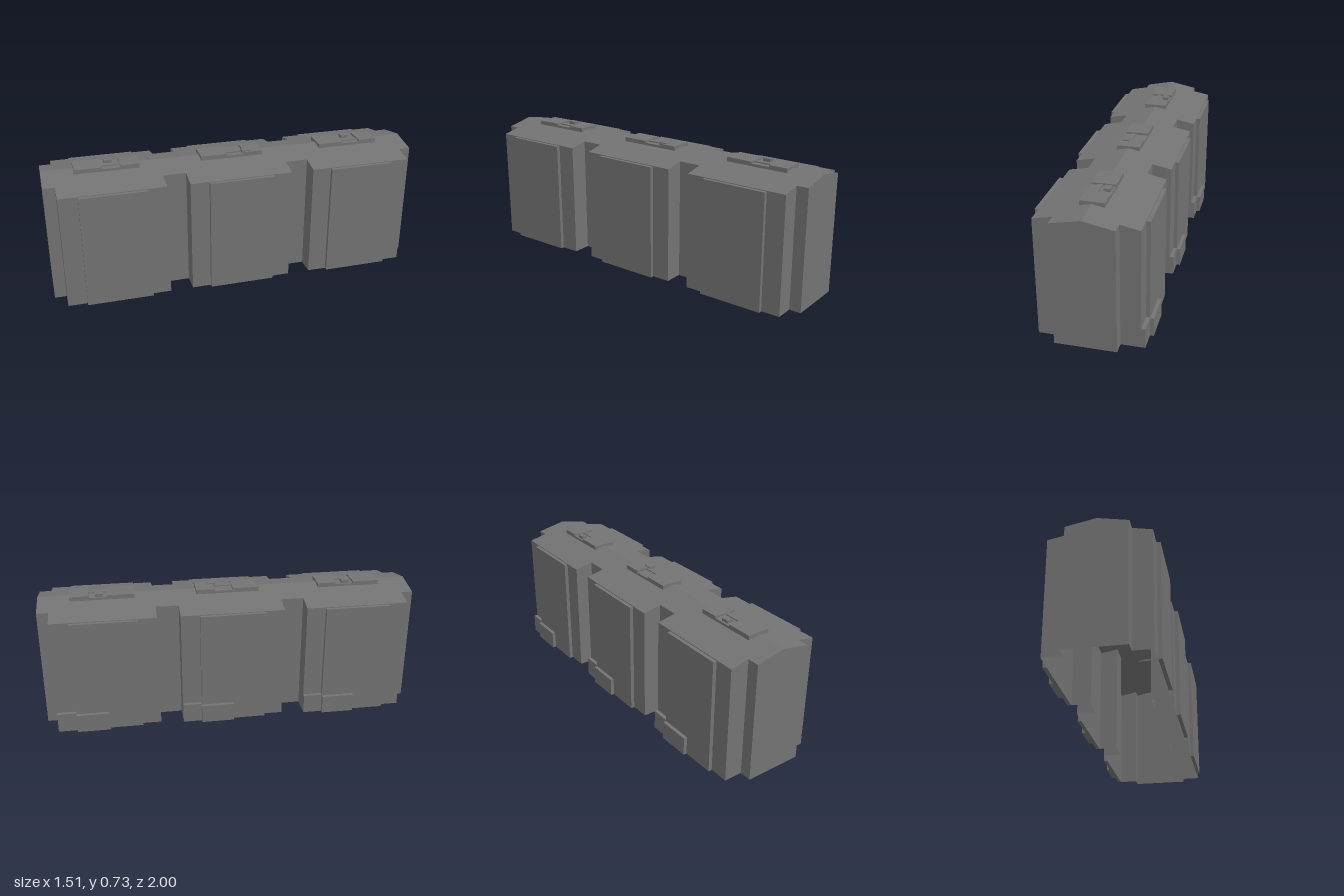
import * as THREE from 'three';

const material = new THREE.MeshStandardMaterial({ color: 0x737373, flatShading: true, side: THREE.DoubleSide });

// Local frame: x runs along the ridge, z across it.
const HALF_LENGTH = 1.067, BODY = 0.163, BAY = 0.268, BAY_HALF = 0.291, PANEL_HALF = 0.185;
const BAY_CENTRES = [-0.71, 0, 0.71];
const roofHeight = (z) => 0.71 - 0.2 * Math.abs(z);

// Half footprint: narrow body with three projecting bays
function halfOutline() {
  const points = [[-HALF_LENGTH, 0], [-HALF_LENGTH, BODY]];
  for (const c of BAY_CENTRES) {
    points.push([c - BAY_HALF, BODY], [c - BAY_HALF, BAY], [c + BAY_HALF, BAY], [c + BAY_HALF, BODY]);
  }
  points.push([HALF_LENGTH, BODY], [HALF_LENGTH, 0]);
  return points.map(([x, z]) => new THREE.Vector2(x, z));
}

function mesh(name, geometry) {
  const m = new THREE.Mesh(geometry, material);
  m.name = name;
  return m;
}

// Vertical walls following the outline up to the sloping roof, open below
function wallGeometry(side) {
  const outline = halfOutline();
  const positions = [];
  for (let i = 0; i < outline.length - 1; i++) {
    const a = outline[i], b = outline[i + 1];
    const corners = [
      [a.x, 0, a.y * side], [b.x, 0, b.y * side],
      [b.x, roofHeight(b.y), b.y * side], [a.x, roofHeight(a.y), a.y * side],
    ];
    const order = side > 0 ? [0, 1, 2, 0, 2, 3] : [0, 2, 1, 0, 3, 2];
    for (const k of order) positions.push(...corners[k]);
  }
  const g = new THREE.BufferGeometry();
  g.setAttribute('position', new THREE.Float32BufferAttribute(positions, 3));
  g.computeVertexNormals();
  return g;
}

// One slope of the gable roof
function roofGeometry(side) {
  const g = new THREE.ShapeGeometry(new THREE.Shape(halfOutline()));
  const p = g.attributes.position;
  for (let i = 0; i < p.count; i++) {
    const z = p.getY(i);
    p.setXYZ(i, p.getX(i), roofHeight(z), z * side);
  }
  if (side > 0) g.index.array.reverse();
  g.computeVertexNormals();
  return g;
}

// Box given by its extents
function block(name, x0, x1, y0, y1, z0, z1) {
  const g = new THREE.BoxGeometry(x1 - x0, y1 - y0, z1 - z0);
  g.translate((x0 + x1) / 2, (y0 + y1) / 2, (z0 + z1) / 2);
  return mesh(name, g);
}

export function createModel() {
  const model = new THREE.Group();
  model.name = 'building';
  const terrace = new THREE.Group();
  terrace.name = 'terrace';
  terrace.rotation.y = 1.017;
  terrace.position.z = 0.007;
  model.add(terrace);

  for (const side of [1, -1]) {
    terrace.add(mesh('walls', wallGeometry(side)), mesh('roofSlope', roofGeometry(side)));
  }

  BAY_CENTRES.forEach((c, i) => {
    // Raised facade panels, centred on each bay on both sides
    terrace.add(
      block('facadePanel', c - PANEL_HALF, c + PANEL_HALF, 0, 0.653, BAY + 0.001, 0.29),
      block('facadePanel', c - PANEL_HALF, c + PANEL_HALF, 0, 0.653, -0.29, -BAY - 0.001),
    );

    // Low annexes at the foot of one side
    terrace.add(
      block('cornerAnnex', c + PANEL_HALF, c + BAY_HALF, 0, 0.11, -0.29, -BAY - 0.001),
      block('lowAnnex', c, c + PANEL_HALF, 0, 0.105, -0.31, -0.29),
    );

    // Rooftop unit: low plate, two raised end blocks, a duct and a small box
    const unit = new THREE.Group();
    unit.name = 'rooftopUnit';
    const boxX = i === 1 ? 0.085 : 0.015, boxZ = i === 1 ? 0.035 : -0.035;
    unit.add(
      block('unitPlate', -0.03, 0.075, 0.695, 0.711, -0.064, 0.064),
      block('unitEndBlock', -0.18, -0.03, 0.695, 0.722, -0.064, 0.064),
      block('unitEndBlock', 0.075, 0.18, 0.695, 0.722, -0.064, 0.064),
      block('unitDuct', -0.03, 0.075, 0.7, 0.717, 0.005, 0.03),
      block('unitBox', boxX - 0.022, boxX + 0.022, 0.7, 0.728, boxZ - 0.018, boxZ + 0.018),
    );
    unit.position.x = c;
    terrace.add(unit);
  });

  return model;
}
